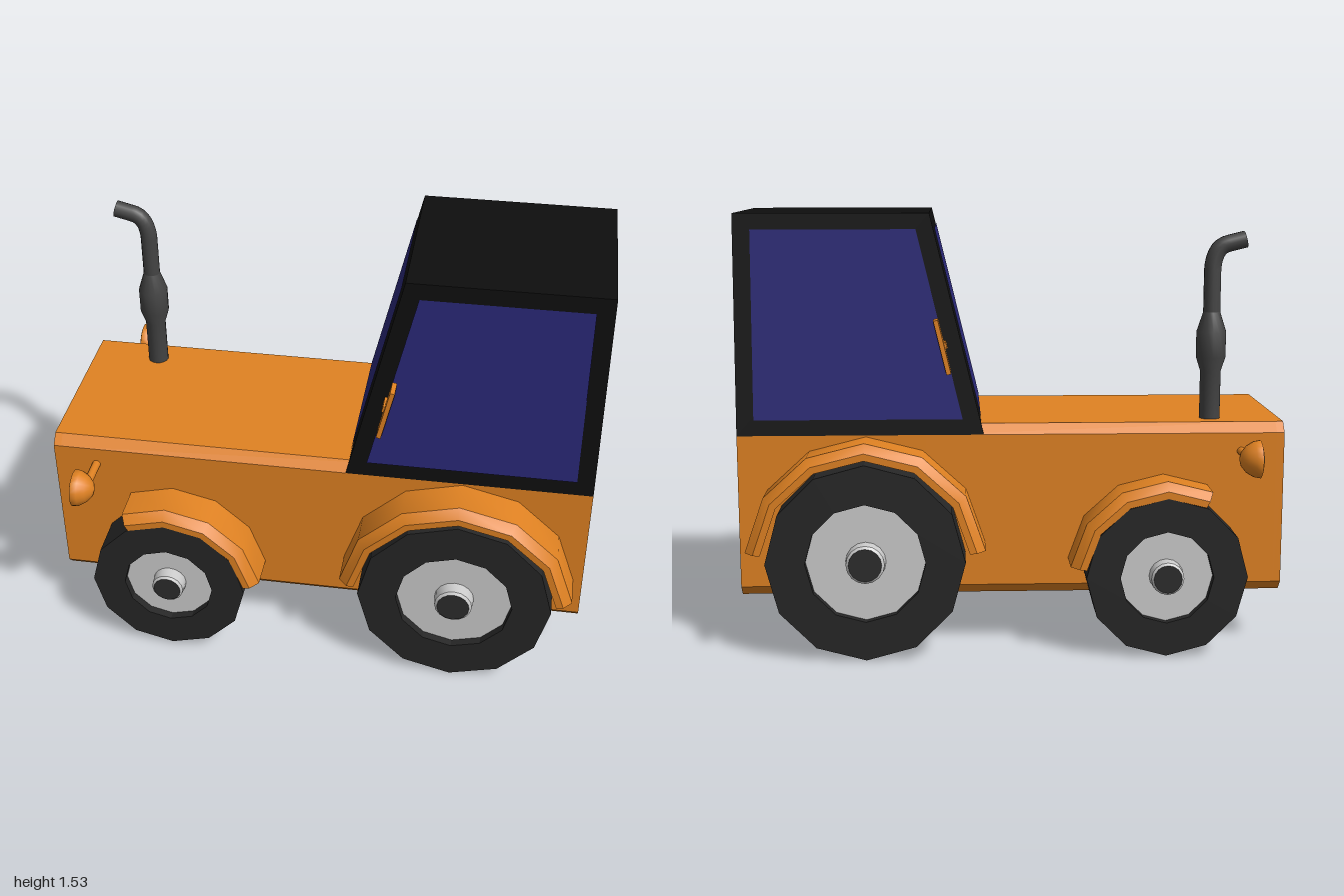
import * as THREE from 'three';
import { toCreasedNormals } from 'three/addons/utils/BufferGeometryUtils.js';

const mat = (color, opts = {}) => new THREE.MeshStandardMaterial({ color, ...opts });
const orange = mat(0xe08222);
const orangeOpen = mat(0xe08222, { side: THREE.DoubleSide });
const black = mat(0x0e0e0e);
const glass = mat(0x2a2878);
const rubber = mat(0x262626, { flatShading: true });
const dark = mat(0x2c2c2c);
const steel = mat(0x444444);
const grey = mat(0xcccccc);
const lensMat = mat(0xb8a860);

const V2 = (x, y) => new THREE.Vector2(x, y);
const V3 = (x, y, z) => new THREE.Vector3(x, y, z);

function add(parent, name, geometry, material, x = 0, y = 0, z = 0) {
  const m = new THREE.Mesh(geometry, material);
  m.name = name;
  m.position.set(x, y, z);
  parent.add(m);
  return m;
}

// Lathe whose axis runs along z; profile points are [radius, z]
function latheZ(points, segments, start = 0, length = Math.PI * 2) {
  const g = new THREE.LatheGeometry(points.map(p => V2(...p)), segments, start, length);
  return g.rotateX(Math.PI / 2);
}

function quads(list) {
  const pos = [];
  for (const [a, b, c, d] of list) for (const p of [a, b, c, a, c, d]) pos.push(p.x, p.y, p.z);
  const g = new THREE.BufferGeometry();
  g.setAttribute('position', new THREE.Float32BufferAttribute(pos, 3));
  g.computeVertexNormals();
  return g;
}

// Cross-section (z, y) swept along x
function sweepX(points, x0, x1, hole) {
  const s = new THREE.Shape(points.map(p => V2(...p)));
  if (hole) s.holes.push(new THREE.Path(hole.map(p => V2(...p))));
  const g = new THREE.ExtrudeGeometry(s, { depth: x1 - x0, bevelEnabled: false });
  return g.rotateY(Math.PI / 2).translate(x0, 0, 0);
}

function buildBody(parent) {
  const W = 0.34, c = 0.032;
  const lower = [[-W, 0.225], [-W + c, 0.19], [W - c, 0.19], [W, 0.225], [W, 0.765]];
  const hood = [...lower, [W - c, 0.8], [-W + c, 0.8], [-W, 0.765]];
  const opening = [[-0.3, 0.24], [-0.3, 0.755], [0.3, 0.755], [0.3, 0.24]];
  add(parent, 'hood', sweepX(hood, -0.93, 0.3), orange);
  add(parent, 'grilleFrame', sweepX(hood, -0.957, -0.93, opening), orange);
  add(parent, 'rearBody', sweepX([...lower, [-W, 0.765]], 0.3, 0.957), orange);
  add(parent, 'grille', new THREE.BoxGeometry(0.01, 0.515, 0.6), dark, -0.93, 0.4975, 0);
}

function buildCab(parent) {
  const corner = (front, top, s) => top
    ? V3(front ? 0.284 : 0.955, 1.53, s * 0.306)
    : V3(front ? 0.1 : 0.957, 0.765, s * 0.34);
  // Wall between two posts, seen from outside, left post first
  const wall = (f0, s0, f1, s1) => [corner(f0, 0, s0), corner(f1, 0, s1), corner(f1, 1, s1), corner(f0, 1, s0)];
  const walls = {
    leftWindow: wall(1, 1, 0, 1), rearWindow: wall(0, 1, 0, -1),
    rightWindow: wall(0, -1, 1, -1), windscreen: wall(1, -1, 1, 1),
  };
  const roof = [corner(1, 1, 1), corner(0, 1, 1), corner(0, 1, -1), corner(1, 1, -1)];
  add(parent, 'cabFrame', quads([...Object.values(walls), roof]), black);

  // Panes inset in each wall
  for (const [name, [a, b, c, d]] of Object.entries(walls)) {
    const n = b.clone().sub(a).cross(d.clone().sub(a)).normalize().multiplyScalar(0.004);
    const at = (side, t) => {
      const l = a.clone().lerp(d, t), r = b.clone().lerp(c, t);
      const m = 0.06 / l.distanceTo(r);
      return l.lerp(r, side ? 1 - m : m).add(n);
    };
    add(parent, name, quads([[at(0, 0.072), at(1, 0.072), at(1, 0.928), at(0, 0.928)]]), glass);
  }
}

function buildWheel(name, R, hubR, capR) {
  const g = new THREE.Group();
  g.name = name;
  const z0 = 0.33, z1 = 0.492;
  add(g, 'tyre', latheZ([[0, z0], [R, z0], [R, z1], [hubR, z1], [hubR, z1 - 0.035]], 12), rubber);
  add(g, 'rim', new THREE.CircleGeometry(hubR, 12), grey, 0, 0, z1 - 0.03);
  const cap = latheZ([[capR, z1 - 0.03], [capR * 0.95, z1 + 0.012], [capR * 0.8, z1 + 0.02]], 16);
  add(g, 'hubCap', toCreasedNormals(cap, 0.6), grey);
  add(g, 'axleEnd', new THREE.CircleGeometry(capR * 0.82, 16), dark, 0, 0, z1 + 0.02);
  return g;
}

// Arched mudguard with a chamfered outer edge; angles from the rear, over the top
function buildFender(name, R, from, to, segments) {
  const g = new THREE.Group();
  g.name = name;
  const section = [[R - 0.04, 0.31], [R, 0.31], [R, 0.465], [R - 0.03, 0.495], [R - 0.055, 0.495], [R - 0.04, 0.465]];
  const rad = THREE.MathUtils.degToRad;
  const arch = latheZ([...section, section[0]], segments, rad(from + 90), rad(to - from));
  add(g, 'arch', toCreasedNormals(arch, 0.6), orangeOpen);
  for (const angle of [from, to]) {
    const end = new THREE.ShapeGeometry(new THREE.Shape(section.map(p => V2(...p))));
    end.rotateY(rad(angle)).rotateX(Math.PI / 2);
    add(g, 'archEnd', end, orangeOpen);
  }
  return g;
}

function buildSide(side) {
  const g = new THREE.Group();
  g.name = side + 'Side';
  const place = (part, x, y) => { part.position.set(x, y, 0); g.add(part); };
  place(buildWheel('frontWheel', 0.28, 0.162, 0.06), -0.53, 0.285);
  place(buildWheel('rearWheel', 0.344, 0.207, 0.07), 0.51, 0.345);
  place(buildFender('frontFender', 0.335, 6, 118, 4), -0.53, 0.285);
  place(buildFender('rearFender', 0.415, 5, 175, 6), 0.51, 0.345);

  // Headlight on a short arm
  const arm = new THREE.CylinderGeometry(0.015, 0.015, 0.13, 10).rotateX(Math.PI / 2);
  add(g, 'headlightArm', arm, orange, -0.805, 0.7, 0.395);
  const bowl = latheZ([[0, -0.06], [0.025, -0.053], [0.047, -0.035], [0.062, -0.01], [0.066, 0.012], [0.054, 0.016]], 20);
  add(g, 'headlight', bowl.rotateY(-Math.PI / 2), orangeOpen, -0.83, 0.7, 0.485);
  const lens = latheZ([[0.056, 0.014], [0.035, 0.021], [0, 0.025]], 20);
  add(g, 'headlightLens', lens.rotateY(-Math.PI / 2), lensMat, -0.83, 0.7, 0.485);

  // Mirror leaning with the windscreen post
  const mirror = new THREE.Group();
  mirror.name = 'mirror';
  mirror.position.set(0.242, 1.08, 0.385);
  mirror.rotation.z = -0.235;
  add(mirror, 'mirrorShell', new THREE.BoxGeometry(0.016, 0.19, 0.066), orange);
  add(mirror, 'mirrorGlass', new THREE.BoxGeometry(0.004, 0.176, 0.052), glass, 0.008);
  add(mirror, 'mirrorArm', new THREE.BoxGeometry(0.014, 0.022, 0.08), orange, -0.008, 0, -0.04);
  g.add(mirror);
  return g;
}

function buildExhaust(parent) {
  const g = new THREE.Group();
  g.name = 'exhaust';
  g.position.set(-0.71, 0, -0.22);
  const profile = [[0.037, 0.78], [0.037, 0.97], [0.053, 1.02], [0.053, 1.11], [0.03, 1.18]];
  const muffler = new THREE.LatheGeometry(profile.map(p => V2(...p)), 16);
  add(g, 'muffler', toCreasedNormals(muffler, 0.5), steel);
  const path = new THREE.CurvePath();
  const p = [V3(0, 1.15, 0), V3(0, 1.33, 0), V3(-0.005, 1.41, 0), V3(-0.055, 1.42, 0), V3(-0.115, 1.435, 0)];
  path.add(new THREE.LineCurve3(p[0], p[1]));
  path.add(new THREE.QuadraticBezierCurve3(p[1], p[2], p[3]));
  path.add(new THREE.LineCurve3(p[3], p[4]));
  add(g, 'pipe', new THREE.TubeGeometry(path, 24, 0.03, 14), steel);
  const mouth = new THREE.CircleGeometry(0.03, 14).rotateY(-Math.PI / 2).rotateZ(-0.245);
  add(g, 'pipeMouth', mouth, steel, p[4].x, p[4].y, 0);
  parent.add(g);
}

export function createModel() {
  const model = new THREE.Group();
  model.name = 'tractor';
  // The tractor points to -x, turned slightly
  const tractor = new THREE.Group();
  tractor.name = 'tractorBody';
  tractor.rotation.y = -0.171;
  tractor.position.set(-0.0034, 0, 0.0197);
  model.add(tractor);

  buildBody(tractor);
  buildCab(tractor);
  buildExhaust(tractor);
  const left = buildSide('left');
  const right = buildSide('right');
  right.scale.z = -1;
  tractor.add(left, right);
  return model;
}
